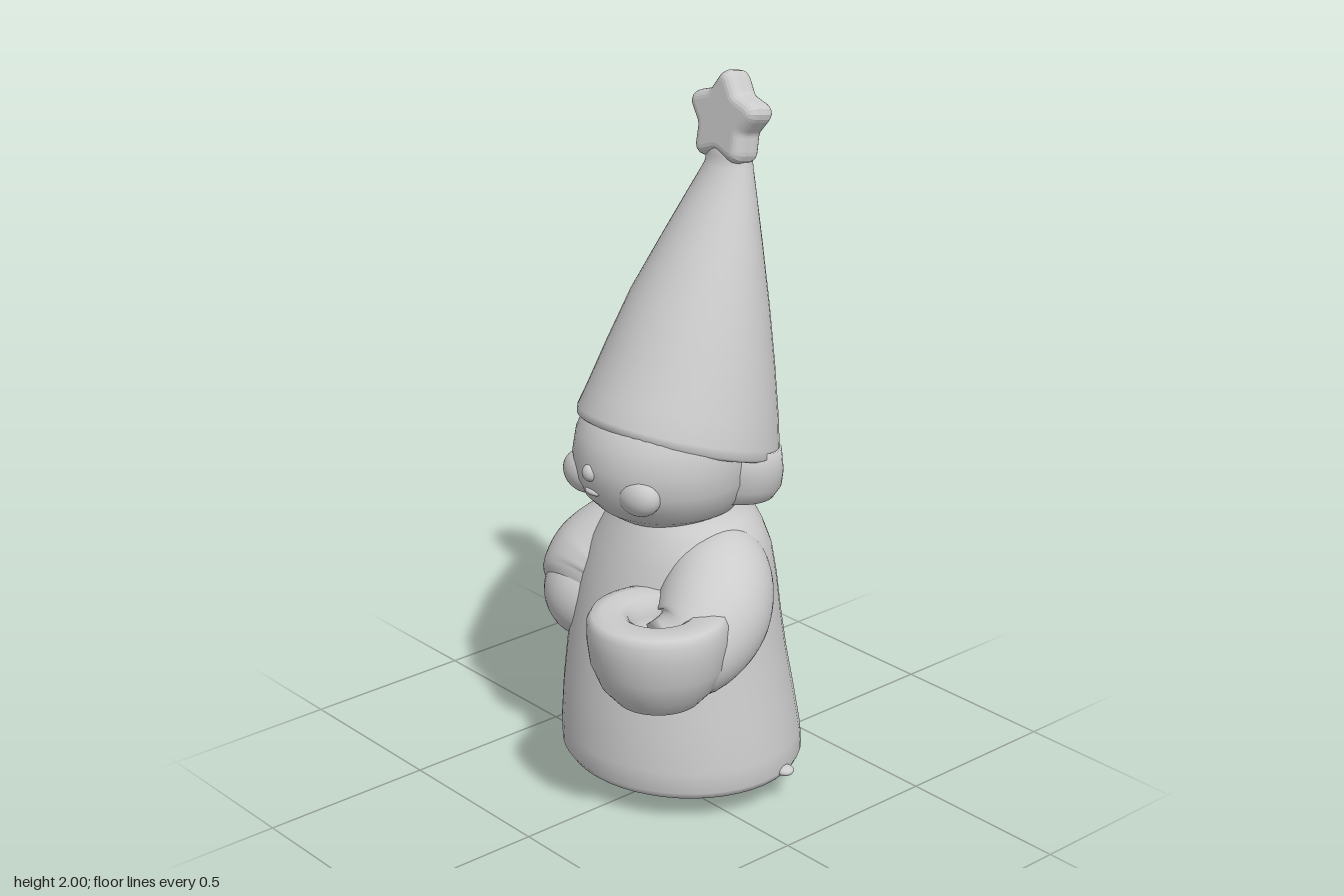
import * as THREE from 'three';

const SIDES = 48;
const material = new THREE.MeshStandardMaterial({ color: 0xcccccc });

// Skin a list of closed rings (arrays of Vector3), capping both ends.
function skin(rings) {
  const pos = [], idx = [], n = SIDES;
  const middle = r => r.reduce((s, p) => s.add(p), new THREE.Vector3()).divideScalar(n);
  rings.forEach(r => r.forEach(p => pos.push(p.x, p.y, p.z)));
  for (let i = 0; i < rings.length - 1; i++) {
    for (let j = 0; j < n; j++) {
      const k = (j + 1) % n, a = i * n + j, b = i * n + k;
      idx.push(a, b, b + n, a, b + n, a + n);
    }
  }
  [0, rings.length - 1].forEach((r, end) => {
    const c = pos.length / 3, m = middle(rings[r]);
    pos.push(m.x, m.y, m.z);
    for (let j = 0; j < n; j++) {
      const a = r * n + j, b = r * n + (j + 1) % n;
      if (end) idx.push(a, b, c); else idx.push(b, a, c);
    }
  });
  const g = new THREE.BufferGeometry();
  g.setAttribute('position', new THREE.Float32BufferAttribute(pos, 3));
  g.setIndex(idx);
  g.computeVertexNormals();
  return g;
}

// Stack of ellipses; row = [y, xMin, xMax, zBack, zFront, slope of y along z].
function loft(rows) {
  return skin(rows.map(([y, x0, x1, z0, z1, slope = 0]) =>
    Array.from({ length: SIDES }, (_, j) => {
      const a = j / SIDES * Math.PI * 2;
      const dz = Math.cos(a) * (z1 - z0) / 2;
      return new THREE.Vector3((x0 + x1) / 2 + Math.sin(a) * (x1 - x0) / 2, y + slope * dz, (z0 + z1) / 2 + dz);
    })));
}

// Round tube with a changing radius; point = [x, y, z, radius].
function limb(points, steps = 28) {
  const curve = new THREE.CatmullRomCurve3(points.map(p => new THREE.Vector3(p[0], p[1], p[2])));
  const radius = new THREE.SplineCurve(points.map((p, i) => new THREE.Vector2(i, p[3])));
  const { normals, binormals } = curve.computeFrenetFrames(steps, false);
  return skin(Array.from({ length: steps + 1 }, (_, i) => {
    // the curve and the radius share one parameter
    const u = i / steps, t = curve.getUtoTmapping(u);
    const c = curve.getPoint(t), r = radius.getPoint(t).y;
    return Array.from({ length: SIDES }, (_, j) => {
      const a = j / SIDES * Math.PI * 2;
      return c.clone().addScaledVector(normals[i], r * Math.cos(a)).addScaledVector(binormals[i], r * Math.sin(a));
    });
  }));
}

export function createModel() {
  const model = new THREE.Group();
  const add = (name, geometry, x = 0, y = 0, z = 0, parent = model) => {
    const mesh = new THREE.Mesh(geometry, material);
    mesh.name = name;
    mesh.position.set(x, y, z);
    parent.add(mesh);
    return mesh;
  };
  const ball = (name, x, y, z, rx, ry, rz) =>
    add(name, new THREE.SphereGeometry(1, 32, 24).scale(rx, ry, rz), x, y, z);

  // Slightly domed foot below the coat hem
  add('base', loft([
    [0, -0.13, 0.05, -0.17, -0.02], [0.012, -0.23, 0.16, -0.29, 0.07],
    [0.03, -0.31, 0.24, -0.36, 0.15], [0.05, -0.335, 0.265, -0.385, 0.18],
    [0.12, -0.33, 0.26, -0.38, 0.18],
  ]));

  // Bell shaped coat with rounded shoulders and a collar
  add('coat', loft([
    [0.075, -0.33, 0.28, -0.37, 0.19], [0.078, -0.365, 0.315, -0.4, 0.235],
    [0.1, -0.378, 0.328, -0.408, 0.25], [0.16, -0.378, 0.325, -0.405, 0.252],
    [0.28, -0.37, 0.308, -0.385, 0.242], [0.4, -0.36, 0.29, -0.362, 0.225],
    [0.52, -0.345, 0.275, -0.342, 0.205], [0.63, -0.325, 0.265, -0.323, 0.18],
    [0.72, -0.295, 0.25, -0.303, 0.15], [0.78, -0.25, 0.215, -0.285, 0.125],
    [0.82, -0.215, 0.175, -0.272, 0.105], [0.85, -0.195, 0.15, -0.262, 0.09],
    [0.9, -0.18, 0.13, -0.25, 0.08],
  ]));
  ball('hemNub', 0.318, 0.1, -0.16, 0.025, 0.014, 0.025);

  // Bent arm ending in a cupped hand
  add('leftArm', limb([
    [0.05, 0.76, -0.09, 0.08], [0.14, 0.69, -0.06, 0.14], [0.225, 0.61, 0.03, 0.155],
    [0.25, 0.545, 0.13, 0.135], [0.225, 0.52, 0.2, 0.11],
  ]));
  const cup = [[0, 0.385], [0.06, 0.392], [0.115, 0.42], [0.155, 0.465], [0.182, 0.53], [0.191, 0.6],
    [0.19, 0.645], [0.178, 0.667], [0.15, 0.672], [0.1, 0.668], [0.08, 0.655], [0.073, 0.62],
    [0.068, 0.585], [0.04, 0.572], [0, 0.57]];
  add('leftHandCup', new THREE.LatheGeometry(cup.map(p => new THREE.Vector2(...p)), 48), 0.218, 0, 0.22);

  // Short arm with a blunt front end
  add('rightArm', limb([
    [-0.09, 0.75, -0.09, 0.08], [-0.18, 0.69, -0.06, 0.135], [-0.25, 0.6, 0, 0.16],
    [-0.265, 0.54, 0.055, 0.15], [-0.262, 0.51, 0.09, 0.125], [-0.26, 0.495, 0.11, 0.085],
  ]));
  ball('rightSleeveEnd', -0.265, 0.52, 0.06, 0.13, 0.14, 0.125);

  // Round face with small features
  add('head', loft([
    [0.8, -0.11, 0.04, -0.1, 0.07], [0.82, -0.17, 0.11, -0.18, 0.12],
    [0.85, -0.22, 0.16, -0.23, 0.165], [0.89, -0.25, 0.19, -0.25, 0.205],
    [0.94, -0.27, 0.21, -0.26, 0.228], [1.0, -0.275, 0.215, -0.27, 0.235],
    [1.06, -0.272, 0.212, -0.27, 0.222], [1.12, -0.25, 0.19, -0.25, 0.19],
    [1.17, -0.2, 0.14, -0.2, 0.12],
  ]));
  ball('nose', -0.05, 0.985, 0.228, 0.024, 0.024, 0.02);
  ball('lowerLip', -0.05, 0.928, 0.218, 0.03, 0.01, 0.014);
  [-1, 1].forEach(s => ball(s < 0 ? 'rightCheek' : 'leftCheek', -0.035 + s * 0.11, 0.945, 0.165, 0.075, 0.06, 0.05));

  // Hair roll under the back of the hat
  add('hair', loft([
    [0.86, -0.2, 0.14, -0.29, -0.03, 0.1], [0.865, -0.255, 0.195, -0.33, 0, 0.1],
    [0.9, -0.28, 0.215, -0.348, 0.02, 0.15], [0.95, -0.292, 0.225, -0.35, 0.03, 0.2],
    [1.02, -0.292, 0.222, -0.345, 0.04, 0.25],
  ]));

  // Cone hat with a sloping brim, upright at the back
  add('hat', loft([
    [1.02, -0.24, 0.17, -0.28, 0.14, 0.3], [1.015, -0.3, 0.225, -0.345, 0.185, 0.3],
    [1.025, -0.316, 0.236, -0.356, 0.198, 0.3], [1.05, -0.314, 0.234, -0.357, 0.198, 0.29],
    [1.12, -0.3, 0.222, -0.354, 0.165, 0.24], [1.25, -0.271, 0.192, -0.348, 0.105, 0.18],
    [1.4, -0.233, 0.152, -0.339, 0.03, 0.12], [1.55, -0.184, 0.103, -0.328, -0.065, 0.06],
    [1.67, -0.143, 0.062, -0.319, -0.145, 0.03], [1.75, -0.115, 0.035, -0.312, -0.2],
    [1.78, -0.11, 0.03, -0.308, -0.205], [1.84, -0.1, 0.02, -0.305, -0.215],
  ]));

  // Puffy five pointed star, leaning back
  const tips = Array.from({ length: 10 }, (_, i) => {
    const a = Math.PI / 2 + i * Math.PI / 5, r = i % 2 ? 0.068 : 0.114;
    return new THREE.Vector2(Math.cos(a) * r, Math.sin(a) * r);
  });
  const outline = new THREE.Shape();
  const start = tips[0].clone().lerp(tips[9], 0.25);
  outline.moveTo(start.x, start.y);
  tips.forEach((p, i) => {
    const next = tips[(i + 1) % 10], prev = tips[(i + 9) % 10];
    const a = p.clone().lerp(prev, 0.25), b = p.clone().lerp(next, 0.25);
    outline.lineTo(a.x, a.y);
    outline.quadraticCurveTo(p.x, p.y, b.x, b.y);
  });
  const starGeometry = new THREE.ExtrudeGeometry(outline, {
    depth: 0.03, bevelEnabled: true, bevelThickness: 0.032, bevelSize: 0.028, bevelOffset: -0.006,
    bevelSegments: 5, curveSegments: 5,
  }).translate(0, 0, -0.015);
  const star = add('star', starGeometry, -0.043, 1.872, -0.262);
  star.rotation.x = -0.15;

  return model;
}
